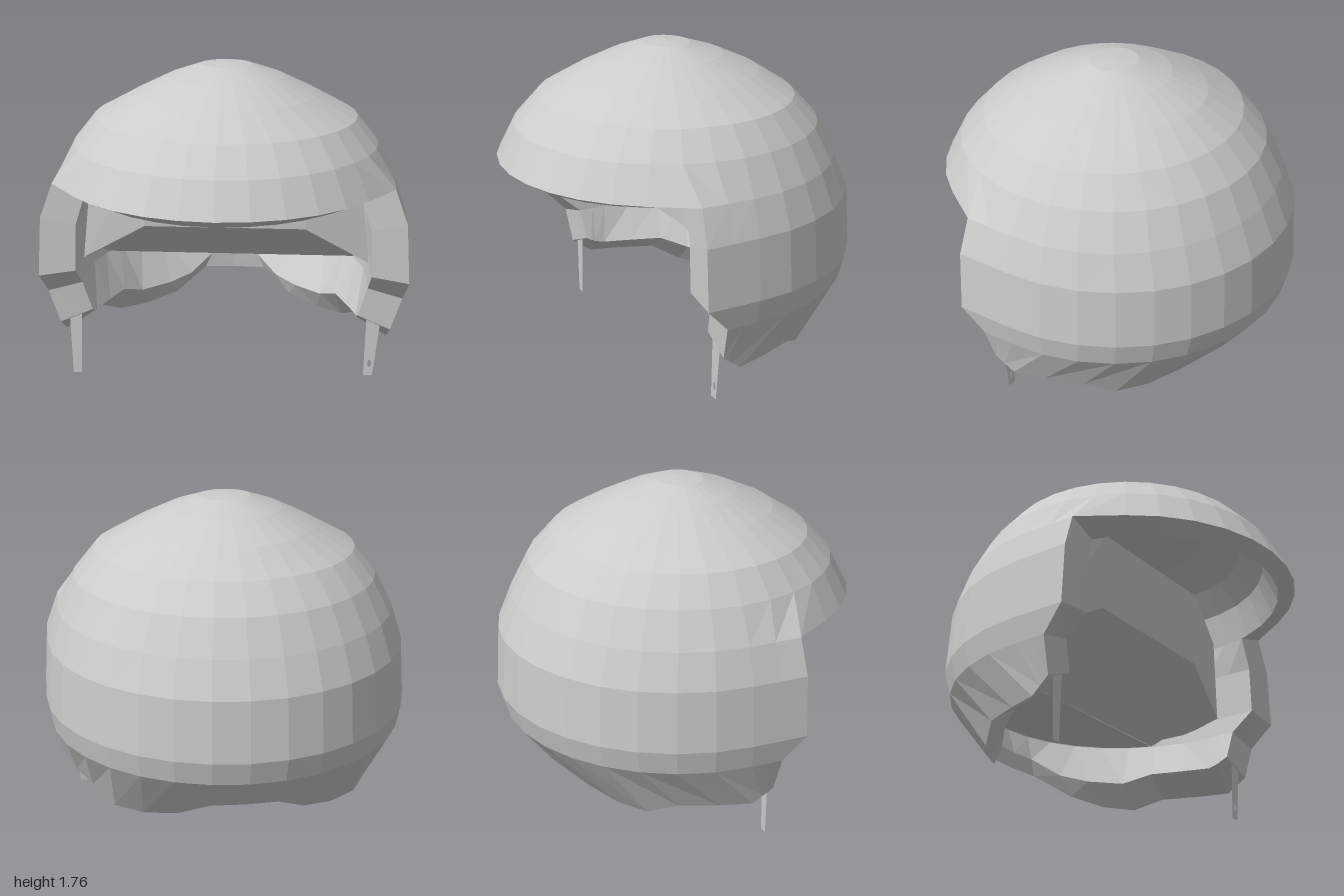
import * as THREE from 'three';

const material = new THREE.MeshStandardMaterial({ color: 0xcccccc, flatShading: true, side: THREE.DoubleSide });
const CZ = 0.05; // z of the dome axis
const STEP = Math.PI / 16; // angle between columns

// Surface through rows of points, with the diagonals mirrored about the middle
function grid(name, rows) {
  const n = rows[0].length;
  const index = [];
  for (let r = 0; r < rows.length - 1; r++) {
    for (let c = 0; c < n - 1; c++) {
      const a = r * n + c, b = a + n;
      if (c < (n - 1) / 2) index.push(a, a + 1, b, a + 1, b + 1, b);
      else index.push(a, b + 1, b, a, a + 1, b + 1);
    }
  }
  return surface(name, rows.flat(), index);
}

function surface(name, points, index) {
  const g = new THREE.BufferGeometry();
  g.setAttribute('position', new THREE.Float32BufferAttribute(points.flat(), 3));
  g.setIndex(index);
  const flat = g.toNonIndexed();
  flat.computeVertexNormals();
  const mesh = new THREE.Mesh(flat, material);
  mesh.name = name;
  return mesh;
}

const flip = ([x, y, z]) => [-x, y, z];

// Point on an ellipse around the dome axis; angle 0 is the back, then +x
const around = (rx, rz, y, t) => [rx * Math.sin(t), y, CZ - rz * Math.cos(t)];

// Points of such an ellipse from one column to another
function arc(rx, rz, y, from, to) {
  const points = [];
  for (let i = from; i <= to; i++) points.push(around(rx, rz, y, i * STEP));
  return points;
}

// Half a wall row: an arc from the back to the side, then straight forward
const halfRow = (y, rx, rz, zFront, xFront = rx) => [
  ...arc(rx, rz, y, 0, 8),
  [(rx + xFront) / 2, y, (CZ + zFront) / 2],
  [xFront, y, zFront],
];

// Where dome and wall meet, above the ears
const seam = halfRow(1.15, 0.92, 0.92, 0.34, 0.912);

// Dome: over the crown, down to the brim edge, then back up inside
function dome() {
  const ring = ([rx, rz, y]) => arc(rx, rz, y, 0, 16);
  const crown = [
    [0, 0, 1.762], [0.14, 0.125, 1.752], [0.31, 0.31, 1.69], [0.49, 0.505, 1.6],
    [0.71, 0.69, 1.48], [0.825, 0.825, 1.335],
  ];
  const inside = [[0.78, 0.84, 1.1], [0.73, 0.75, 1.29], [0.63, 0.62, 1.42], [0.42, 0.43, 1.53], [0, 0, 1.66]];
  const halves = [...crown.map(ring), [...seam, ...arc(0.92, 0.92, 1.15, 11, 16)], ...inside.map(ring)];
  return grid('domeAndBrim', halves.map((h) => [...h, ...h.slice(0, -1).reverse().map(flip)]));
}

// Wavy lower edges, from the back centre to the front of the ear
const outerRim = [
  [0, 0.31, -0.78], [0.18, 0.31, -0.77], [0.34, 0.2, -0.62], [0.51, 0.16, -0.51],
  [0.66, 0.16, -0.4], [0.77, 0.23, -0.27], [0.85, 0.23, -0.07], [0.9, 0.23, 0.1],
  [0.908, 0.27, 0.155], [0.912, 0.29, 0.185], [0.915, 0.31, 0.21],
];
const innerRim = [
  [0, 0.4, -0.77], [0.14, 0.4, -0.76], [0.26, 0.31, -0.64], [0.38, 0.285, -0.53],
  [0.53, 0.285, -0.39], [0.62, 0.34, -0.25], [0.68, 0.34, -0.08], [0.73, 0.34, 0.08],
  [0.73, 0.355, 0.14], [0.73, 0.37, 0.17], [0.735, 0.385, 0.2],
];

// Wall around the back and ears: outside downwards, rim, inside upwards
function wall(group) {
  const outer = [
    seam, halfRow(0.96, 0.98, 1.0, 0.35),
    halfRow(0.63, 1.0, 1.02, 0.35), halfRow(0.5, 0.975, 0.985, 0.225), outerRim,
  ];
  const inner = [
    halfRow(1.1, 0.78, 0.84, 0.33, 0.735), halfRow(0.92, 0.79, 0.86, 0.34),
    halfRow(0.66, 0.8, 0.88, 0.34), halfRow(0.55, 0.785, 0.87, 0.215), innerRim,
  ];
  group.add(grid('backAndEarShell', [...outer, ...inner.slice().reverse()]
    .map((half) => [...half.slice(1).reverse().map(flip), ...half])));

  // Front edges of the ears
  const last = (row) => row[row.length - 1];
  const edge = outer.map((row, i) => [last(row), last(inner[i])]);
  group.add(grid('leftEarEdge', edge));
  group.add(grid('rightEarEdge', edge.map((p) => p.map(flip).reverse())));
}

// Inner padding: forehead wall, side panels, underside sloping down to the back, flat base
function padding(group) {
  const half = [
    [0.44, 1.3, 0.2], [0.44, 0.87, 0.18], [0.78, 0.555, -0.31], [0.74, 1.12, 0.13], [0.79, 0.66, 0.11],
  ];
  const left = [0, 1, 4, 0, 4, 3, 1, 2, 4];
  const right = left.map((i) => i + 5).reverse();
  const middle = [5, 6, 0, 6, 1, 0, 6, 7, 1, 7, 2, 1];
  group.add(surface('headPadding', [...half, ...half.map(flip)], [...left, ...right, ...middle]));

  const outline = [];
  for (let i = -6; i <= 6; i++) {
    const [x, , z] = around(0.85, 0.88, 0, i * 0.191);
    outline.push(new THREE.Vector2(x, z));
  }
  const base = new THREE.Mesh(new THREE.ShapeGeometry(new THREE.Shape(outline)).rotateX(Math.PI / 2), material);
  base.position.y = 0.555;
  base.name = 'paddingBase';
  group.add(base);
}

// Thin tapered chin strap, optionally with a buckle hole
function strap(name, corners, hole) {
  const shape = new THREE.Shape(corners.map(([x, y]) => new THREE.Vector2(x, y)));
  if (hole) {
    const path = new THREE.Path();
    path.absellipse(hole[0], hole[1], 0.011, 0.022, 0, Math.PI * 2, true);
    shape.holes.push(path);
  }
  const mesh = new THREE.Mesh(new THREE.ShapeGeometry(shape, 4), material);
  mesh.position.z = 0.2;
  mesh.name = name;
  return mesh;
}

export function createModel() {
  const group = new THREE.Group();
  group.name = 'helmet';
  group.add(dome());
  wall(group);
  padding(group);
  group.add(strap('rightStrap', [[-0.855, 0], [-0.808, 0], [-0.795, 0.37], [-0.865, 0.34]]));
  group.add(strap('leftStrap', [[0.775, 0.03], [0.825, 0.03], [0.86, 0.34], [0.785, 0.37]], [0.808, 0.1]));
  return group;
}
